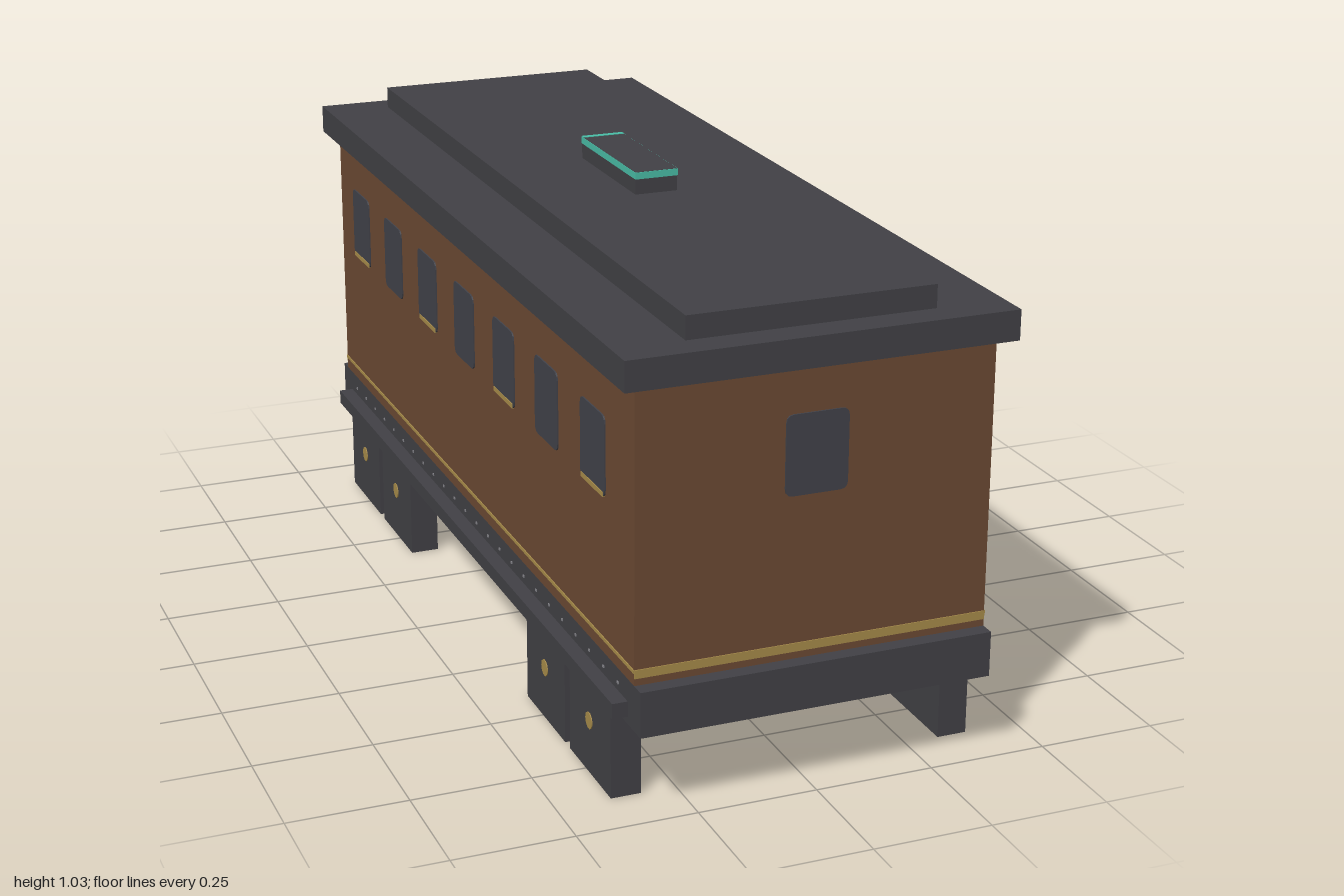
import * as THREE from 'three';

const mat = (name, color) => Object.assign(new THREE.MeshStandardMaterial({ color }), { name });

export function createModel() {
  const wood = mat('brown wood', 0x6d4b34);
  const iron = mat('dark iron', 0x424146);
  const glass = mat('dark glass', 0x42434b);
  const brass = mat('brass', 0xa98d4b);
  const teal = mat('teal trim', 0x4abfa8);
  const steel = mat('rivet steel', 0x85858a);

  const model = new THREE.Group();
  model.name = 'railwayCarriage';

  // Box given by its minimum and maximum on each axis
  function box(parent, name, material, [x0, x1], [y0, y1], [z0, z1]) {
    const mesh = new THREE.Mesh(new THREE.BoxGeometry(x1 - x0, y1 - y0, z1 - z0), material);
    mesh.position.set((x0 + x1) / 2, (y0 + y1) / 2, (z0 + z1) / 2);
    mesh.name = name;
    parent.add(mesh);
    return mesh;
  }

  // Thin window pane with rounded corners, facing +z
  function pane(w, h, r = 0.016) {
    const s = new THREE.Shape();
    const x = w / 2, y = h / 2;
    s.moveTo(-x + r, -y);
    s.lineTo(x - r, -y).quadraticCurveTo(x, -y, x, -y + r);
    s.lineTo(x, y - r).quadraticCurveTo(x, y, x - r, y);
    s.lineTo(-x + r, y).quadraticCurveTo(-x, y, -x, y - r);
    s.lineTo(-x, -y + r).quadraticCurveTo(-x, -y, -x + r, -y);
    return new THREE.ExtrudeGeometry(s, { depth: 0.003, bevelEnabled: false, curveSegments: 3 });
  }

  // Underframe, body and stepped roof
  box(model, 'underframe', iron, [-0.37, 0.37], [0.18, 0.275], [-1, 1]);
  box(model, 'body', wood, [-0.37, 0.37], [0.275, 0.875], [-0.968, 0.968]);
  box(model, 'roof', iron, [-0.402, 0.402], [0.875, 0.937], [-1, 1]);
  box(model, 'upperRoof', iron, [-0.257, 0.257], [0.937, 0.985], [-0.935, 0.935]);

  // Roof vent with a teal band around its top
  box(model, 'roofVent', iron, [-0.047, 0.047], [0.985, 1.033], [-0.158, 0.158]);
  box(model, 'ventBand', teal, [-0.048, 0.048], [1.018, 1.0325], [-0.16, 0.16]);
  box(model, 'ventEndTrim', teal, [-0.047, 0.047], [1.032, 1.034], [-0.16, -0.147]);

  const sidePane = pane(0.13, 0.165);
  const endPane = pane(0.13, 0.164);
  const hubGeometry = new THREE.CylinderGeometry(0.018, 0.018, 0.004, 10).rotateZ(Math.PI / 2);

  // Each half holds one side and one end; the second is turned half round
  for (const turn of [0, Math.PI]) {
    const half = new THREE.Group();
    half.name = turn ? 'rightAndBack' : 'leftAndFront';
    half.rotation.y = turn;
    model.add(half);

    // Side windows, with a brass sill under every second one
    for (let i = 0; i < 7; i++) {
      const z = 0.794 - i * 0.2585;
      const window = new THREE.Mesh(sidePane, glass);
      window.name = 'sideWindow';
      window.rotation.y = Math.PI / 2;
      window.position.set(0.37, 0.683, z);
      half.add(window);
      if (i % 2 === 0) box(half, 'windowSill', brass, [0.37, 0.3745], [0.601, 0.611], [z - 0.058, z + 0.058]);
    }

    // End window and brass waist lines
    const endWindow = new THREE.Mesh(endPane, glass);
    endWindow.name = 'endWindow';
    endWindow.position.set(-0.002, 0.695, 0.968);
    half.add(endWindow);
    box(half, 'endLine', brass, [-0.37, 0.37], [0.29, 0.308], [0.968, 0.97]);
    box(half, 'sideLine', brass, [0.37, 0.372], [0.301, 0.308], [-0.968, 0.968]);

    // Running board and rivets along the underframe
    box(half, 'runningBoard', iron, [0.37, 0.402], [0.196, 0.228], [-0.935, 0.935]);
    for (let i = 0; i < 24; i++) {
      const z = -0.885 + i * 0.077;
      box(half, 'rivet', steel, [0.37, 0.372], [0.243, 0.248], [z - 0.003, z + 0.003]);
    }

    // Wheel blocks with brass hubs
    for (const z of [0.773, 0.518, -0.518, -0.773]) {
      box(half, 'wheelBlock', iron, [0.323, 0.386], [0, 0.196], [z - 0.113, z + 0.113]);
      const hub = new THREE.Mesh(hubGeometry, brass);
      hub.name = 'wheelHub';
      hub.position.set(0.386, 0.114, z + 0.003);
      half.add(hub);
    }
  }
  return model;
}
